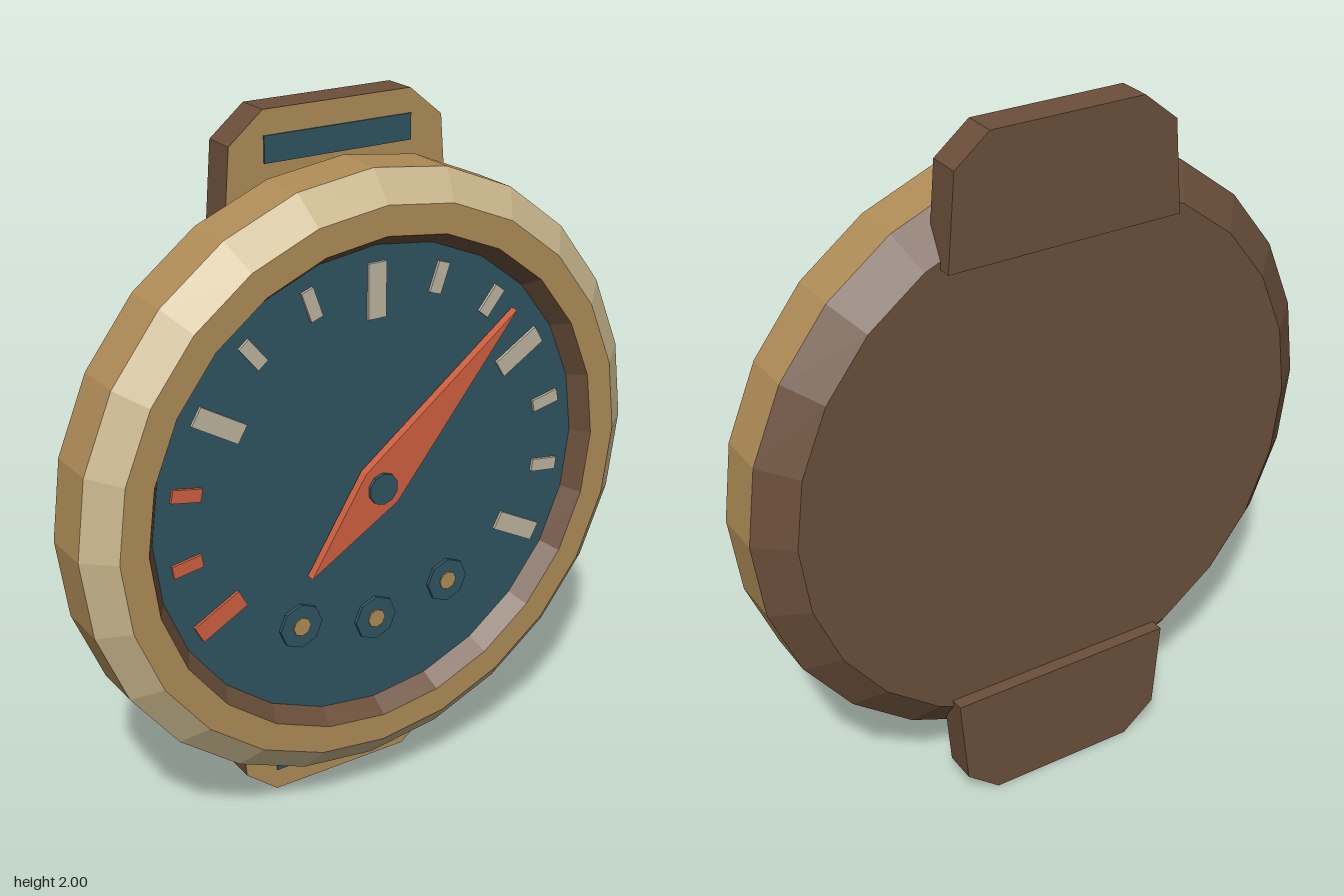
import * as THREE from 'three';

const material = (name, color, extra = {}) => {
  const m = new THREE.MeshStandardMaterial({ color, flatShading: true, ...extra });
  m.name = name;
  return m;
};

export function createModel() {
  const gold = material('gold', 0xb08d57);
  const paleGold = material('pale gold', 0xc8b68c);
  const brown = material('brown', 0x6b4f3a);
  const teal = material('teal', 0x2f5560);
  const cream = material('cream', 0xbfb5a0);
  const red = material('red', 0xd0603f);

  const model = new THREE.Group();
  model.name = 'gauge';
  const body = new THREE.Group();
  body.name = 'gaugeBody';
  body.position.y = 1;
  model.add(body);

  const add = (parent, name, geometry, mat, x = 0, y = 0, z = 0) => {
    const mesh = new THREE.Mesh(geometry, mat);
    mesh.name = name;
    mesh.position.set(x, y, z);
    parent.add(mesh);
    return mesh;
  };
  const polygon = (points) => new THREE.Shape(points.map(([x, y]) => new THREE.Vector2(x, y)));
  const extrude = (shape, depth) => new THREE.ExtrudeGeometry(shape, { depth, bevelEnabled: false });
  // Disc whose flat faces look along z
  const disc = (r, depth, sides) => new THREE.CylinderGeometry(r, r, depth, sides).rotateX(Math.PI / 2);

  // Round case: one turned profile of [radius, z], split by colour
  const band = (name, points, mat) => add(body, name,
    new THREE.LatheGeometry(points.map(([r, z]) => new THREE.Vector2(r, z)), 24).rotateX(Math.PI / 2), mat);
  band('caseBack', [[0, -0.124], [0.765, -0.124], [0.86, -0.046]], brown);
  band('caseSide', [[0.86, -0.046], [0.86, 0.097]], gold);
  band('bezelChamfer', [[0.86, 0.097], [0.78, 0.163]], paleGold);
  band('bezelFront', [[0.78, 0.163], [0.7, 0.163]], gold);
  band('bezelInnerWall', [[0.7, 0.163], [0.665, 0.11]], brown);
  band('dial', [[0.665, 0.11], [0, 0.11]], teal);

  // Strap lugs at top and bottom, with gold front and teal slot
  const lugShape = polygon([[-0.34, 0.66], [0.34, 0.66], [0.318, 0.92], [0.22, 1], [-0.22, 1], [-0.318, 0.92]]);
  for (const [name, turn] of [['topLug', 0], ['bottomLug', Math.PI]]) {
    const lug = new THREE.Group();
    lug.name = name;
    lug.rotation.z = turn;
    add(lug, 'lugBlock', extrude(lugShape, 0.096), brown, 0, 0, -0.163);
    add(lug, 'lugFace', new THREE.ShapeGeometry(lugShape), gold, 0, 0, -0.0655);
    add(lug, 'lugSlot', new THREE.BoxGeometry(0.44, 0.07, 0.006), teal, 0, 0.9, -0.064);
    body.add(lug);
  }

  // Scale marks, every third one large, the last three on the low side red
  for (let i = -6; i <= 6; i++) {
    const major = i % 3 === 0;
    const length = major ? 0.15 : 0.085;
    const angle = THREE.MathUtils.degToRad(i * 19.67);
    const r = 0.62 - length / 2;
    const mark = add(body, major ? 'majorMark' : 'minorMark',
      new THREE.BoxGeometry(major ? 0.054 : 0.036, length, 0.009),
      i <= -4 ? red : cream, Math.sin(angle) * r, Math.cos(angle) * r, 0.1135);
    mark.rotation.z = -angle;
  }

  // Needle and hub
  const needle = extrude(polygon([[0, -0.305], [0.073, 0], [0, 0.6], [-0.073, 0]]), 0.025);
  add(body, 'needle', needle, red, 0, 0, 0.12).rotation.z = THREE.MathUtils.degToRad(-46);
  add(body, 'needleHub', disc(0.045, 0.045, 10), teal, 0, 0, 0.1325);

  // Three small sockets with gold pins
  for (const [x, y] of [[-0.24, -0.36], [0, -0.408], [0.24, -0.36]]) {
    add(body, 'socket', disc(0.065, 0.012, 8), teal, x, y, 0.114);
    add(body, 'socketPin', disc(0.027, 0.008, 8), gold, x, y, 0.12);
  }
  return model;
}
